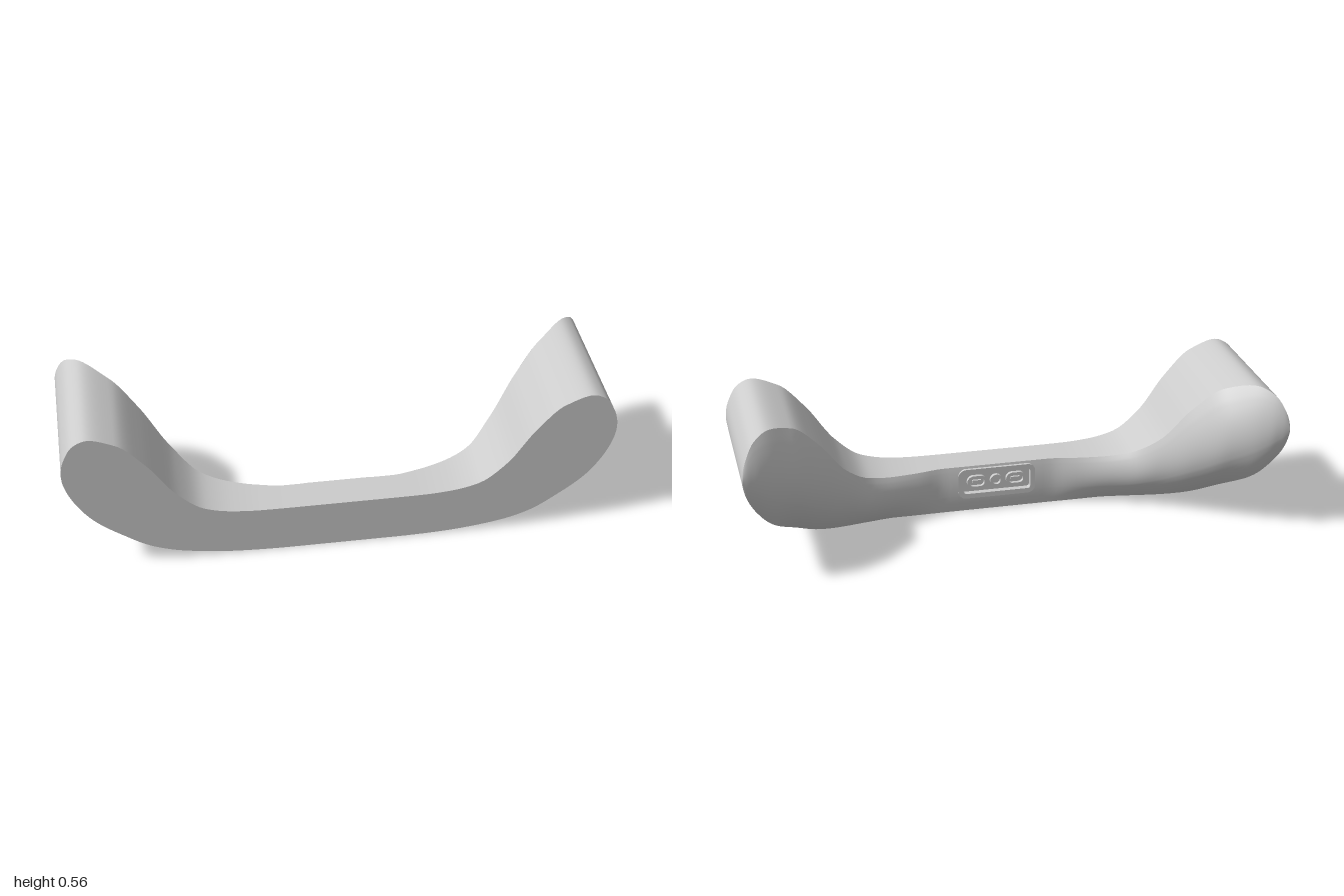
import * as THREE from 'three';

const FRONT = 0.293;

// Half outline: x, bottom y, top y, back z at the bottom edge, at the top edge, at the crown
const STATIONS = [
  [0, 0, 0.184, 0.16, 0.16, 0.15],
  [0.2, 0, 0.184, 0.16, 0.16, 0.15],
  [0.3, 0.002, 0.185, 0.155, 0.142, 0.128],
  [0.4, 0.007, 0.192, 0.145, 0.115, 0.095],
  [0.5, 0.018, 0.215, 0.11, 0.075, 0.05],
  [0.6, 0.035, 0.293, 0.06, 0, -0.02],
  [0.7, 0.068, 0.43, -0.01, -0.06, -0.12],
  [0.8, 0.13, 0.53, -0.1, -0.12, -0.21],
  [0.9, 0.21, 0.565, -0.21, -0.2, -0.27],
  [0.95, 0.275, 0.545, -0.25, -0.245, -0.288],
  [0.985, 0.345, 0.49, -0.28, -0.28, -0.294],
  [1, 0.42, 0.42, -0.295, -0.295, -0.295],
];
const toU = x => Math.asin(x) * 2 / Math.PI;
const US = STATIONS.map(s => toU(s[0]));

// Monotone cubic interpolation of one column; u = 1 is the outer tip
function column(c) {
  const n = US.length - 1;
  const d = US.slice(1).map((u, i) => (STATIONS[i + 1][c] - STATIONS[i][c]) / (u - US[i]));
  const m = US.map((_, i) => {
    if (i === 0) return 0;
    if (i === n) return d[n - 1];
    return d[i - 1] * d[i] <= 0 ? 0 : 2 * d[i - 1] * d[i] / (d[i - 1] + d[i]);
  });
  return u => {
    let i = 0;
    while (i < n - 1 && u > US[i + 1]) i++;
    const h = US[i + 1] - US[i], s = (u - US[i]) / h, r = 1 - s;
    return STATIONS[i][c] * (1 + 2 * s) * r * r + STATIONS[i + 1][c] * s * s * (3 - 2 * s)
      + h * s * r * (m[i] * r - m[i + 1] * s);
  };
}
const [yBottom, yTop, zBottom, zTop, zCrown] = [1, 2, 3, 4, 5].map(column);

// Point on the crowned back, t from 0 at the bottom edge to 1 at the top edge
function backPoint(u, t) {
  const a = Math.abs(u), lerp = THREE.MathUtils.lerp;
  const bulge = (zBottom(a) + zTop(a)) / 2 - zCrown(a);
  return [Math.sin(u * Math.PI / 2), lerp(yBottom(a), yTop(a), t),
    lerp(zBottom(a), zTop(a), t) - bulge * 4 * t * (1 - t)];
}

// Indexed grid from rows of points; skip(i, j) leaves a cell open
function grid(rows, skip = () => false) {
  const w = rows[0].length, index = [];
  for (let i = 0; i < rows.length - 1; i++) {
    for (let j = 0; j < w - 1; j++) {
      if (skip(i, j)) continue;
      const a = i * w + j, b = a + w;
      index.push(a, b, b + 1, a, b + 1, a + 1);
    }
  }
  const g = new THREE.BufferGeometry();
  g.setAttribute('position', new THREE.Float32BufferAttribute(rows.flat(2), 3));
  g.setIndex(index);
  g.computeVertexNormals();
  return g;
}

function roundedRect(P, hw, hh, r) {
  const p = new P();
  p.absarc(hw - r, hh - r, r, 0, Math.PI / 2);
  p.absarc(r - hw, hh - r, r, Math.PI / 2, Math.PI);
  p.absarc(r - hw, r - hh, r, Math.PI, Math.PI * 1.5);
  p.absarc(hw - r, r - hh, r, Math.PI * 1.5, Math.PI * 2);
  p.closePath();
  return p;
}

export function createModel() {
  const model = new THREE.Group();
  const material = new THREE.MeshStandardMaterial({ color: 0xcccccc });
  const add = (name, geometry, parent = model) => {
    const mesh = new THREE.Mesh(geometry, material);
    mesh.name = name;
    parent.add(mesh);
    return mesh;
  };

  // Sample positions, including the edges of the connector opening
  const portY = 0.115, openX = 0.135, openY = 0.05;
  const us = [toU(openX), -toU(openX)];
  for (let i = 0; i <= 120; i++) us.push((i / 60 - 1) * 0.998);
  us.sort((a, b) => a - b);
  const tLow = (portY - openY) / 0.184, tHigh = (portY + openY) / 0.184;
  const ts = [tLow, tHigh];
  for (let i = 0; i <= 24; i++) ts.push(i / 24);
  ts.sort((a, b) => b - a);

  // Flat front face
  const atFront = p => [p[0], p[1], FRONT];
  add('frontFace', grid(us.map(u => [0, 1].map(t => atFront(backPoint(u, t))))));

  // Crowned back with an opening for the connector
  add('backSurface', grid(us.map(u => ts.map(t => backPoint(u, t))), (i, j) => {
    const u = (us[i] + us[i + 1]) / 2, t = (ts[j] + ts[j + 1]) / 2;
    return Math.abs(u) < toU(openX) && t > tLow && t < tHigh;
  }));

  // Outer wall running round the whole outline
  const edge = [...us.map(u => backPoint(u, 0)), ...us.slice().reverse().map(u => backPoint(u, 1))];
  edge.push(edge[0]);
  add('outerWall', grid(edge.map(p => [p, atFront(p)])));

  // Recessed connector panel
  const port = new THREE.Group();
  port.name = 'connectorPanel';
  port.position.y = portY;
  model.add(port);
  const ring = (name, hw, hh, r, wall, z, depth, x = 0) => {
    const shape = roundedRect(THREE.Shape, hw, hh, r);
    shape.holes.push(roundedRect(THREE.Path, hw - wall, hh - wall, r - wall));
    const g = new THREE.ExtrudeGeometry(shape, { depth, bevelEnabled: false, curveSegments: 10 });
    add(name, g, port).position.set(x, 0, z);
  };
  ring('panelRim', 0.15, 0.06, 0.03, 0.019, 0.147, 0.035);
  add('panelFloor', new THREE.BoxGeometry(0.27, 0.1, 0.01), port).position.z = 0.175;

  // Two oblong sockets either side of a round one
  for (const side of [-1, 1]) {
    ring('oblongSocket', 0.038, 0.026, 0.025, 0.009, 0.156, 0.015, side * 0.076);
    add('contactTongue', new THREE.BoxGeometry(0.034, 0.012, 0.01), port).position.set(side * 0.076, 0, 0.166);
  }
  ring('roundSocket', 0.024, 0.024, 0.0239, 0.008, 0.156, 0.015);
  return model;
}
